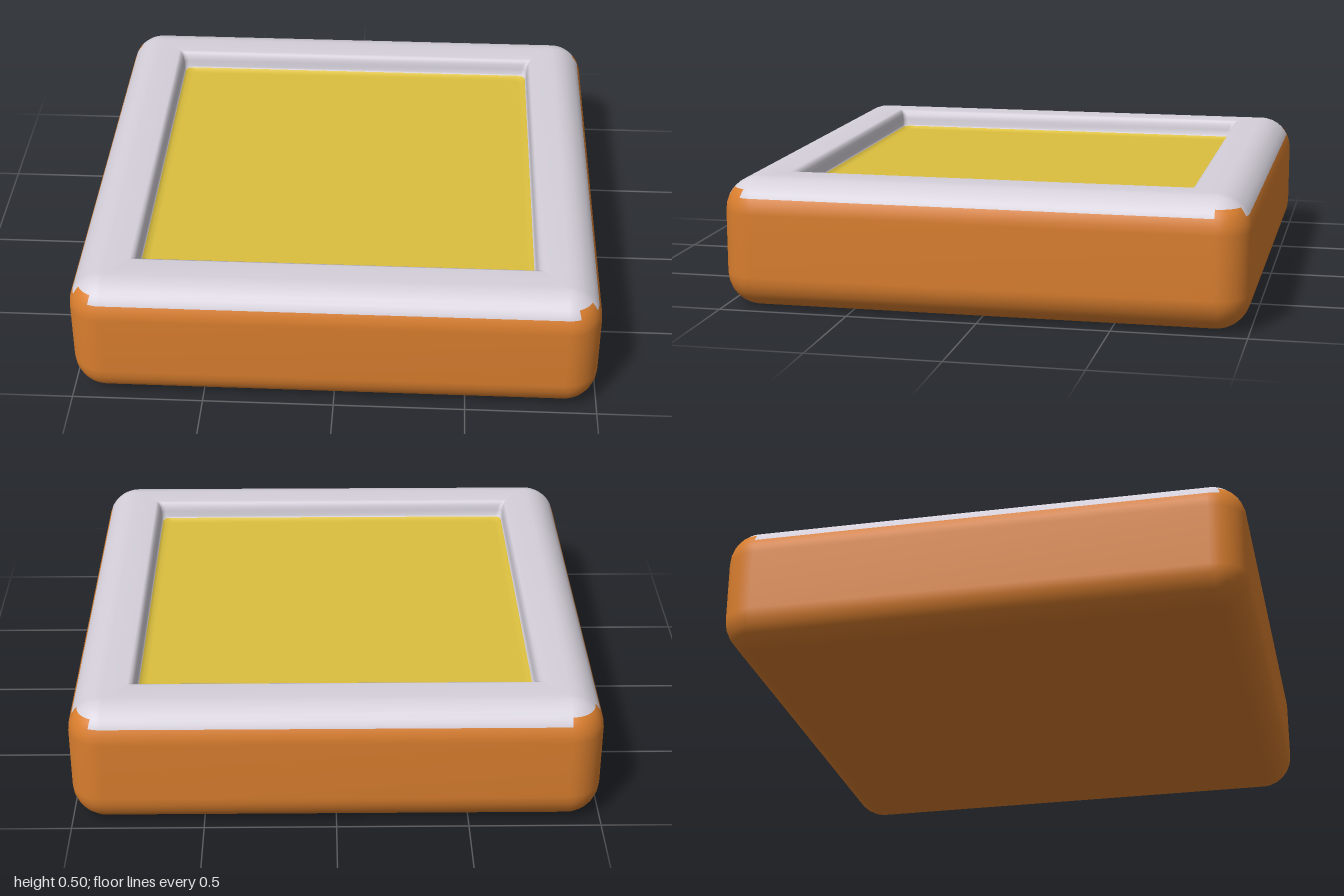
import * as THREE from 'three';

const R = 0.13;       // outer edge rounding
const SEGS = 12;      // segments per corner
const RING = 4 * (SEGS + 1);

// Rounded-square sections [half width, corner radius, height], from the underside up, over and into the recess
function sections() {
  const bevel = (deg, cy) => {
    const t = THREE.MathUtils.degToRad(deg);
    const r = Math.max(0.005, R * Math.cos(t));
    return [1 - R + R * Math.cos(t), r, cy + R * Math.sin(t)];
  };
  const list = [[0, 0, 0]];
  for (const d of [-90, -78, -66, -54, -42, -30, -15, 0]) list.push(bevel(d, R));
  for (const d of [0, 14, 27.5, 36, 43.8, 55, 66, 78, 90]) list.push(bevel(d, 0.5 - R));
  list.push(
    [0.78, 0.005, 0.5], [0.768, 0.01, 0.495], [0.76, 0.015, 0.48], [0.757, 0.02, 0.46], [0.755, 0.025, 0.435],
    [0.75, 0.03, 0.43], [0.74, 0.03, 0.422], [0.72, 0.02, 0.42], [0, 0, 0.42],
  );
  return list;
}

export function createModel() {
  const material = (name, color) => {
    const m = new THREE.MeshStandardMaterial({ color });
    m.name = name;
    return m;
  };
  const materials = {
    body: material('orange', 0xd97e2e),
    rim: material('pale grey', 0xd5d0da),
    recessFloor: material('yellow', 0xdbbf3f),
  };

  // Points of every section
  const list = sections();
  const positions = [];
  for (const [h, r, y] of list) {
    for (let k = 0; k < 4; k++) {
      const sx = k === 0 || k === 3 ? 1 : -1;
      const sz = k < 2 ? 1 : -1;
      for (let s = 0; s <= SEGS; s++) {
        const a = (k + s / SEGS) * Math.PI / 2;
        positions.push(sx * (h - r) + r * Math.cos(a), y, sz * (h - r) + r * Math.sin(a));
      }
    }
  }

  // Range of columns where the orange climbs higher at each corner
  const climb = [[3, 8], [3, 8], [0, 11], [3, 11]];
  const partOf = (i, j) => {
    if (list[i][0] < 0.752 && list[i][2] > 0.4) return 'recessFloor';
    const [from, to] = climb[Math.floor(j / (SEGS + 1))];
    const s = j % (SEGS + 1);
    const inPatch = s >= from && s <= to && s < SEGS;
    const inside = list[i][0] < 0.8 && list[i][2] > 0.4;
    return !inside && list[i + 1][2] <= (inPatch ? 0.4605 : 0.4305) ? 'body' : 'rim';
  };

  // Sort the faces into parts
  const faces = { body: [], rim: [], recessFloor: [] };
  for (let i = 0; i < list.length - 1; i++) {
    for (let j = 0; j < RING; j++) {
      const a = i * RING + j;
      const b = i * RING + (j + 1) % RING;
      faces[partOf(i, j)].push(a, a + RING, b, b, a + RING, b + RING);
    }
  }

  // Shared smooth normals keep the surface continuous across the colours
  const whole = new THREE.BufferGeometry();
  whole.setAttribute('position', new THREE.Float32BufferAttribute(positions, 3));
  whole.setIndex(Object.values(faces).flat());
  whole.computeVertexNormals();

  const group = new THREE.Group();
  group.name = 'squareTray';
  for (const [name, index] of Object.entries(faces)) {
    const part = whole.clone();
    part.setIndex(index);
    const mesh = new THREE.Mesh(part.toNonIndexed(), materials[name]);
    mesh.name = name;
    group.add(mesh);
  }
  return group;
}
